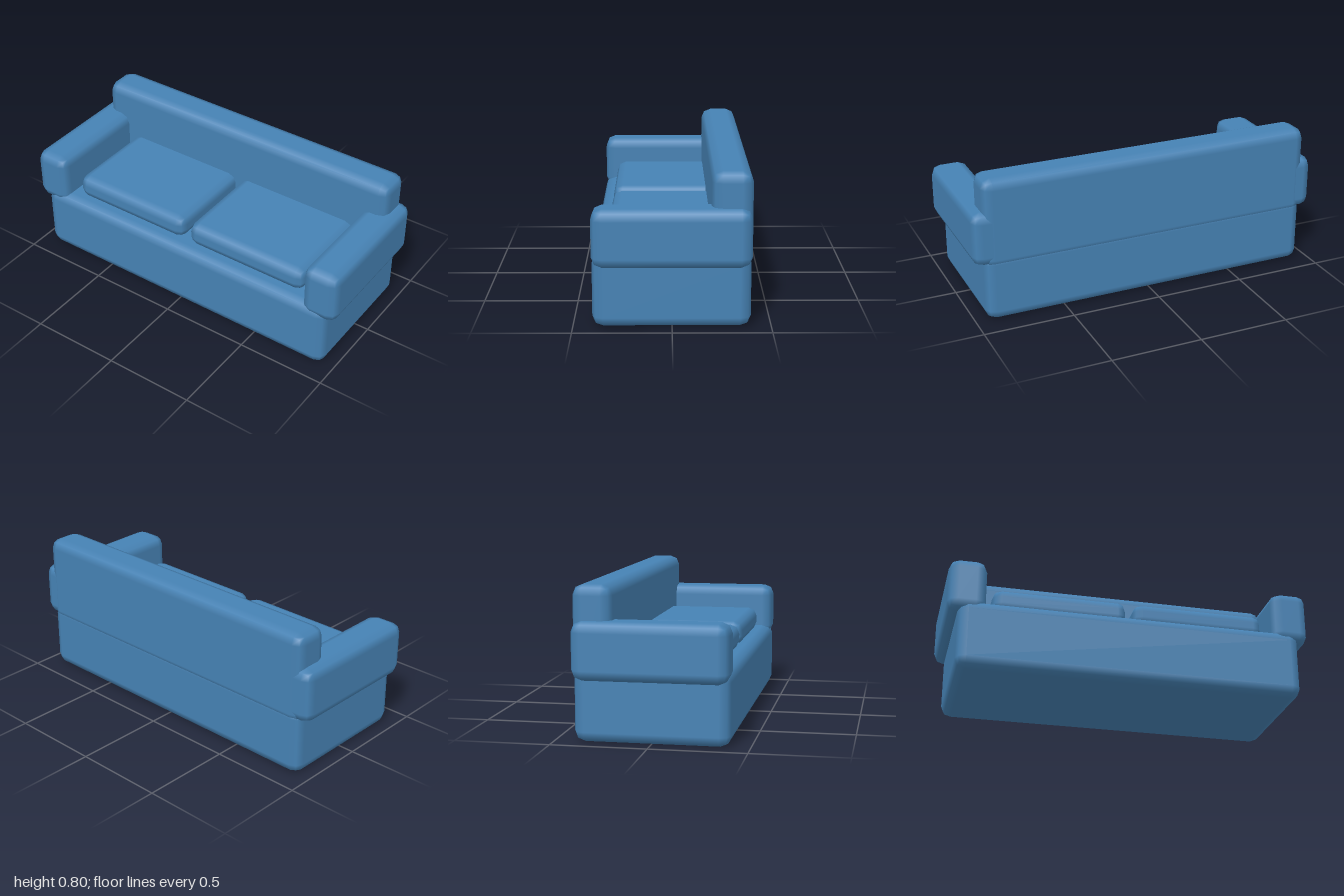
import * as THREE from 'three';
import { RoundedBoxGeometry } from 'three/addons/geometries/RoundedBoxGeometry.js';

export function createModel() {
  const sofa = new THREE.Group();
  sofa.name = 'sofa';

  const blueFabric = new THREE.MeshStandardMaterial({ color: 0x4682b4 });
  blueFabric.name = 'blueFabric';

  // Soft-edged block given by its [min, max] extents on each axis
  function addBlock(name, [x0, x1], [y0, y1], [z0, z1], radius = 0.055) {
    const geometry = new RoundedBoxGeometry(x1 - x0, y1 - y0, z1 - z0, 1, radius);
    const mesh = new THREE.Mesh(geometry, blueFabric);
    mesh.name = name;
    mesh.position.set((x0 + x1) / 2, (y0 + y1) / 2, (z0 + z1) / 2);
    sofa.add(mesh);
  }

  // Base and backrest share the same width
  addBlock('base', [-0.941, 0.941], [0, 0.38], [-0.397, 0.402]);
  addBlock('backrest', [-0.941, 0.941], [0.3, 0.8], [-0.402, -0.196]);

  // Mirrored armrests and seat cushions
  for (const [side, s] of [['left', 1], ['right', -1]]) {
    const span = (a, b) => (s > 0 ? [a, b] : [-b, -a]);
    addBlock(side + 'Armrest', span(0.794, 1), [0.321, 0.621], [-0.398, 0.402]);
    addBlock(side + 'Cushion', span(0.019, 0.754), [0.365, 0.5], [-0.25, 0.325], 0.05);
  }

  return sofa;
}
